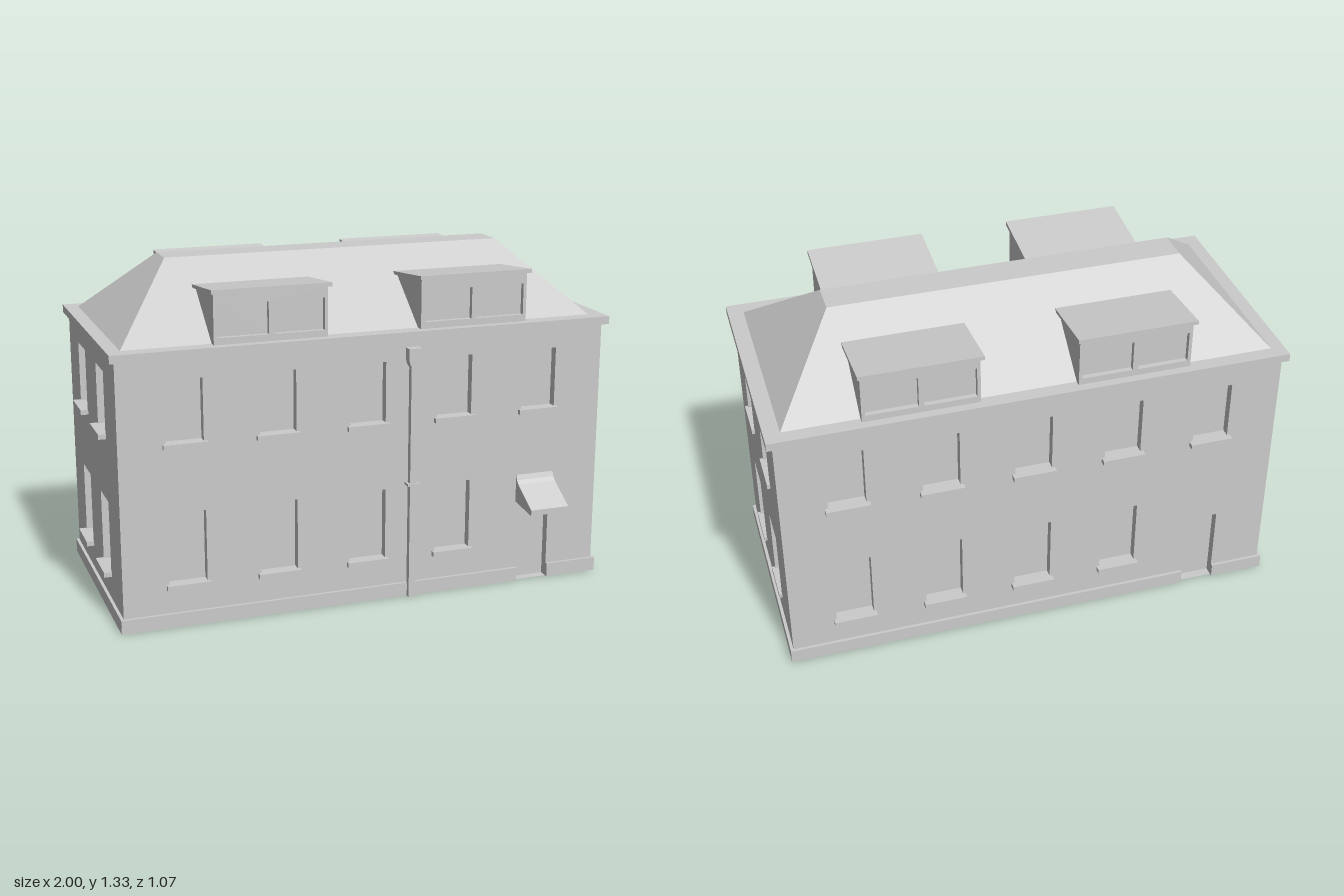
import * as THREE from 'three';

const mat = new THREE.MeshStandardMaterial({ color: 0xcccccc, side: THREE.DoubleSide });
const MID_Z = -0.057; // middle of the house, front to back
const EAVE_Y = 1.067;

function add(parent, name, geometry, x = 0, y = 0, z = 0) {
  const m = new THREE.Mesh(geometry, mat);
  m.name = name;
  m.position.set(x, y, z);
  parent.add(m);
  return m;
}

const polygon = (pts) => new THREE.Shape(pts.map(([x, y]) => new THREE.Vector2(x, y)));

// Box given by its limits
function block(parent, name, x0, x1, y0, y1, z0, z1) {
  return add(parent, name, new THREE.BoxGeometry(x1 - x0, y1 - y0, z1 - z0),
    (x0 + x1) / 2, (y0 + y1) / 2, (z0 + z1) / 2);
}

// Side profile of [z, y] points extruded from x0 to x1
function prism(parent, name, profile, x0, x1) {
  const g = new THREE.ExtrudeGeometry(polygon(profile), { depth: x1 - x0, bevelEnabled: false });
  g.rotateY(-Math.PI / 2);
  return add(parent, name, g, x1);
}

// Box without its front face: reveal and pane in one
function recess(parent, name, o, depth) {
  const g = new THREE.BoxGeometry(o.w, o.h, depth);
  const index = Array.from(g.index.array);
  index.splice(24, 6);
  g.setIndex(index);
  return add(parent, name, g, o.x, o.y + o.h / 2, -depth / 2);
}

// Flat wall with window holes and an optional door notch, facing +z
function panel(parent, name, w, y0, y1, windows, door, depth) {
  const notch = door ? [[door.x - door.w / 2, y0], [door.x - door.w / 2, door.h],
    [door.x + door.w / 2, door.h], [door.x + door.w / 2, y0]] : [];
  const shape = polygon([[-w / 2, y0], ...notch, [w / 2, y0], [w / 2, y1], [-w / 2, y1]]);
  for (const o of windows) {
    const l = o.x - o.w / 2, r = o.x + o.w / 2;
    shape.holes.push(polygon([[l, o.y], [l, o.y + o.h], [r, o.y + o.h], [r, o.y]]));
    recess(parent, 'window', o, depth);
  }
  if (door) recess(parent, 'door', door, depth);
  add(parent, name, new THREE.ShapeGeometry(shape));
}

// House side: wall, recessed openings, sills and plinth
function facade(parent, name, w, columns, door, sillOut, x, z, turn) {
  const g = new THREE.Group();
  g.name = name;
  g.position.set(x, 0, z);
  g.rotation.y = turn;
  parent.add(g);
  const windows = [];
  columns.forEach((cx) => {
    windows.push({ x: cx, y: 0.715, w: 0.143, h: 0.24 });
    if (!door || Math.abs(cx - door.x) > 0.1) windows.push({ x: cx, y: 0.167, w: 0.147, h: 0.281 });
  });
  panel(g, 'wall', w, 0, 1.04, windows, door, 0.035);
  for (const o of windows)
    block(g, 'sill', o.x - 0.084, o.x + 0.084, o.y - 0.017, o.y + 0.002, -0.034, sillOut);
  const e = w / 2 + 0.011;
  const runs = door ? [[-e, door.x - door.w / 2], [door.x + door.w / 2, e]] : [[-e, e]];
  for (const [a, b] of runs) block(g, 'plinth', a, b, 0, 0.055, 0, 0.012);
}

// Hipped roof with a narrow flat top
function hipRoof(parent) {
  const ring = (x, y, z0, z1) => [[-x, y, z1], [x, y, z1], [x, y, z0], [-x, y, z0]];
  const b = ring(0.937, EAVE_Y, -0.471, 0.35);
  const t = ring(0.685, 1.33, -0.126, 0.002);
  const pos = [];
  const quad = (p, q, r, s) => pos.push(...p, ...q, ...r, ...p, ...r, ...s);
  for (let i = 0; i < 4; i++) {
    const j = (i + 1) % 4;
    quad(b[i], b[j], t[j], t[i]);
  }
  quad(...t);
  const g = new THREE.BufferGeometry();
  g.setAttribute('position', new THREE.Float32BufferAttribute(pos, 3));
  g.computeVertexNormals();
  add(parent, 'hipRoof', g);
}

// Dormer with two windows, triangular cheeks and a shed roof
function dormer(parent, x, turn) {
  const g = new THREE.Group();
  g.name = 'dormer';
  g.position.set(x, 0, MID_Z);
  g.rotation.y = turn;
  parent.add(g);
  const front = new THREE.Group();
  front.name = 'dormerFront';
  front.position.z = 0.437;
  g.add(front);
  const windows = [-0.108, 0.108].map((cx) => ({ x: cx, y: 1.093, w: 0.196, h: 0.122 }));
  panel(front, 'dormerWall', 0.438, EAVE_Y, 1.258, windows, null, 0.02);
  const cheek = [[0.437, EAVE_Y], [0.437, 1.258], [0.178, 1.234], [0.4, EAVE_Y]];
  for (const s of [-1, 1]) {
    const c = s * 0.214;
    prism(g, 'dormerCheek', cheek, c - 0.005, c + 0.005);
  }
  prism(g, 'dormerRoof', [[0.455, 1.259], [0.455, 1.274], [0.168, 1.244], [0.178, 1.232]], -0.23, 0.23);
}

export function createModel() {
  const house = new THREE.Group();
  house.name = 'house';

  // Walls: the back repeats the front turned half round
  const columns = [-0.722, -0.365, -0.008, 0.347, 0.705];
  const door = { x: 0.7, y: 0, w: 0.135, h: 0.322 };
  const sideColumns = [-0.187, 0.168];
  facade(house, 'frontFacade', 1.945, columns, door, 0.018, 0.0025, 0.393, 0);
  facade(house, 'backFacade', 1.945, columns, door, 0.025, 0.0025, -0.507, Math.PI);
  facade(house, 'leftFacade', 0.9, sideColumns, null, 0.012, 0.975, MID_Z, Math.PI / 2);
  facade(house, 'rightFacade', 0.9, sideColumns, null, 0.03, -0.97, MID_Z, -Math.PI / 2);

  // Eaves and roof
  block(house, 'eaves', -0.99, 0.998, 1.036, EAVE_Y, -0.528, 0.412);
  hipRoof(house);
  for (const x of [-0.38, 0.43])
    for (const turn of [0, Math.PI]) dormer(house, x, turn);

  // Canopy over the front door
  prism(house, 'doorCanopy', [[0.39, 0.335], [0.535, 0.32], [0.535, 0.343], [0.415, 0.412],
    [0.401, 0.426], [0.393, 0.446], [0.39, 0.446]], 0.625, 0.786);

  // Downpipe with bracket and hopper
  block(house, 'downpipe', 0.157, 0.185, 0, 0.94, 0.4, 0.424);
  block(house, 'pipeBracket', 0.147, 0.196, 0.46, 0.47, 0.39, 0.428);
  const hopper = polygon([[-0.012, 0], [0.012, 0], [0.02, 0.012], [0.026, 0.035],
    [0.026, 0.077], [-0.026, 0.077], [-0.026, 0.035], [-0.02, 0.012]]);
  add(house, 'hopper', new THREE.ExtrudeGeometry(hopper, { depth: 0.036, bevelEnabled: false }),
    0.171, 0.928, 0.393);

  return house;
}
